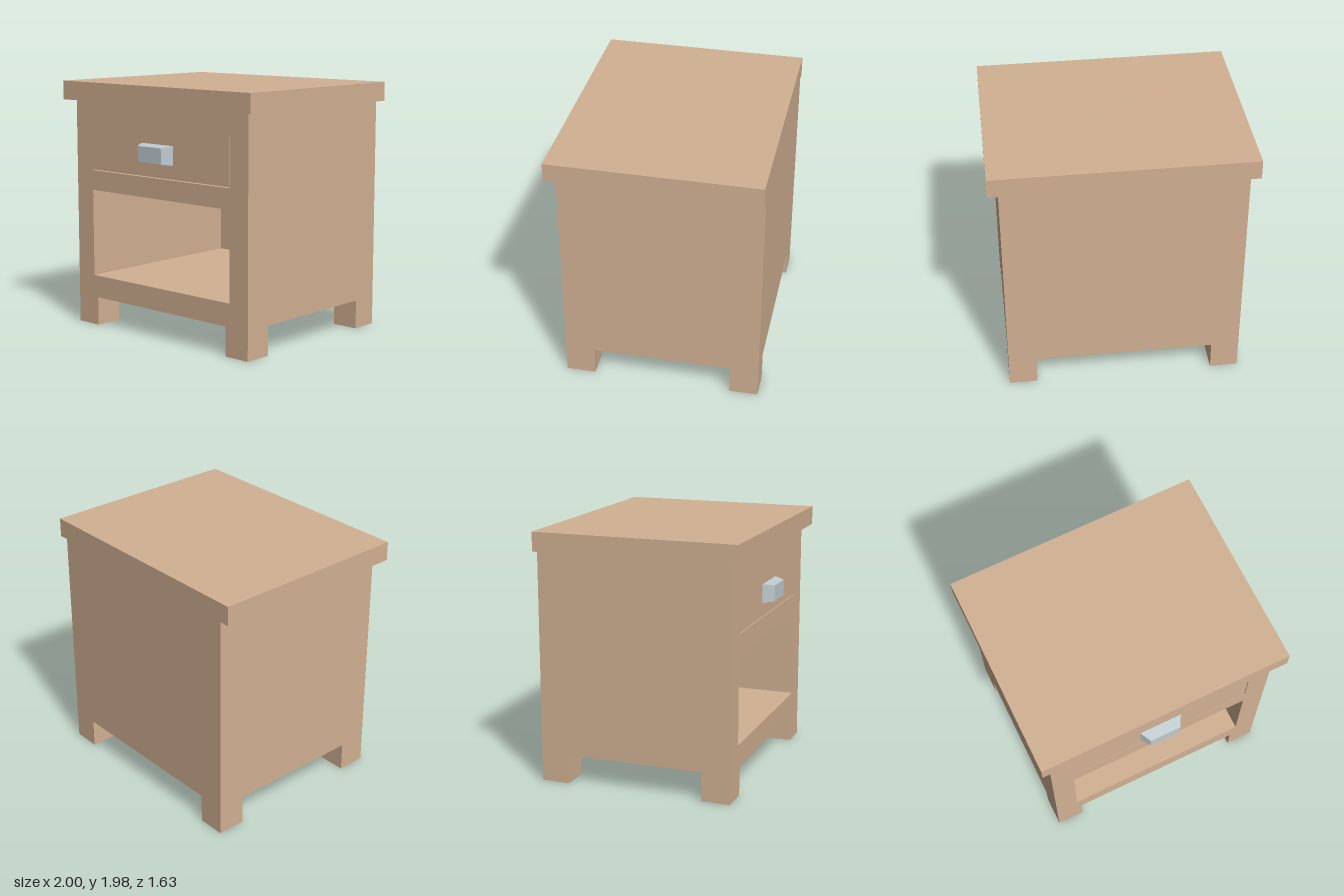
import * as THREE from 'three';

const wood = new THREE.MeshStandardMaterial({ color: 0xd2b193 });
const metal = new THREE.MeshStandardMaterial({ color: 0xc0ccd0 });

// Box given by its lower and upper corners
function box(name, [x0, y0, z0], [x1, y1, z1], material = wood) {
  const mesh = new THREE.Mesh(new THREE.BoxGeometry(x1 - x0, y1 - y0, z1 - z0), material);
  mesh.position.set((x0 + x1) / 2, (y0 + y1) / 2, (z0 + z1) / 2);
  mesh.name = name;
  return mesh;
}

function rect(Type, x0, y0, x1, y1) {
  return new Type([[x0, y0], [x1, y0], [x1, y1], [x0, y1]].map(p => new THREE.Vector2(...p)));
}

export function createModel() {
  const model = new THREE.Group();
  model.name = 'nightstand';
  const back = -0.815, front = 0.73, inner = -0.795;

  // Cabinet body with an open shelf and a drawer opening
  const outline = rect(THREE.Shape, -0.92, 0.23, 0.92, 1.83);
  outline.holes.push(rect(THREE.Path, -0.74, 0.41, 0.74, 1.11));
  outline.holes.push(rect(THREE.Path, -0.74, 1.27, 0.74, 1.65));
  const body = new THREE.Mesh(
    new THREE.ExtrudeGeometry(outline, { depth: front - inner, bevelEnabled: false }), wood);
  body.position.z = inner;
  body.name = 'cabinetBody';
  model.add(body);
  model.add(box('backPanel', [-0.92, 0.23, back], [0.92, 1.83, inner]));

  // Table top, flush at the back
  model.add(box('tableTop', [-1, 1.83, back], [1, 1.98, 0.8]));

  // Drawer, leaving a thin gap below and at one side
  model.add(box('drawer', [-0.74, 1.277, inner], [0.733, 1.65, front]));

  // Four square legs
  for (const [x0, x1, side] of [[-0.92, -0.7, 'Right'], [0.7, 0.92, 'Left']]) {
    model.add(box('front' + side + 'Leg', [x0, 0, 0.5], [x1, 0.23, front]));
    model.add(box('back' + side + 'Leg', [x0, 0, back], [x1, 0.23, -0.59]));
  }

  // Handle: a block tapering toward the front
  const handle = box('drawerHandle', [-0.175, 1.384, front], [0.165, 1.534, 0.815], metal);
  const pos = handle.geometry.attributes.position;
  for (let i = 0; i < pos.count; i++) {
    if (pos.getZ(i) > 0) pos.setXY(i, pos.getX(i) * 0.73, pos.getY(i) * 0.82);
  }
  handle.geometry.computeVertexNormals();
  model.add(handle);

  return model;
}
